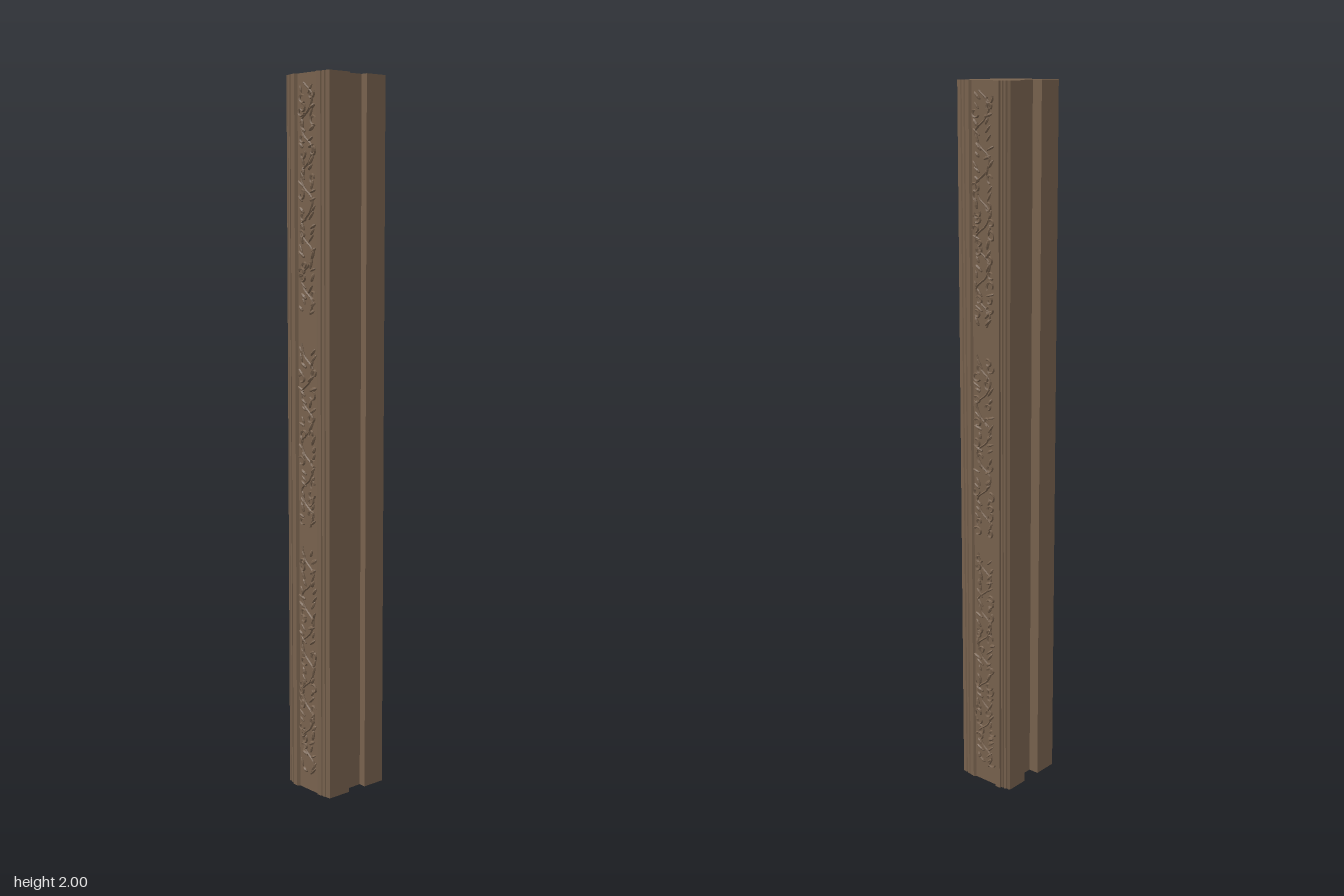
import * as THREE from 'three';
import { mergeGeometries } from 'three/addons/utils/BufferGeometryUtils.js';

const HEIGHT = 2;

// One carved face from left to right, as [x, distance from the post's middle]
const faceProfile = [
  [-0.09, 0.098], [-0.084, 0.101], [-0.08, 0.098], [-0.077, 0.102], [-0.071, 0.103],
  [-0.069, 0.099], [-0.066, 0.103], [-0.061, 0.103], [-0.06, 0.109], [-0.044, 0.109],
  [-0.038, 0.102], [0.038, 0.101], [0.044, 0.106], [0.058, 0.104], [0.06, 0.101],
  [0.064, 0.103], [0.071, 0.102], [0.073, 0.099], [0.077, 0.101], [0.089, 0.099],
];

function seeded(seed) {
  return () => {
    seed = (seed * 16807) % 2147483647;
    return seed / 2147483647;
  };
}

// Post with a moulded front and back and a slot down each side
function postGeometry() {
  const front = faceProfile.map(([x, z]) => [x, z]);
  const back = faceProfile.map(([x, z]) => [x, -z - 0.002]).reverse();
  const rightSlot = [[0.089, 0.027], [0.068, 0.027], [0.068, -0.033], [0.089, -0.033]];
  const leftSlot = [[-0.09, -0.033], [-0.06, -0.033], [-0.06, 0.027], [-0.09, 0.027]];
  const outline = [...front, ...rightSlot, ...back, ...leftSlot];
  const shape = new THREE.Shape(outline.map(([x, z]) => new THREE.Vector2(x, -z)));
  const geometry = new THREE.ExtrudeGeometry(shape, { depth: HEIGHT, bevelEnabled: false });
  return geometry.rotateX(-Math.PI / 2);
}

// Low carved leaf: a flattened faceted dome
function leaf(x, y, length, width, angle, rise) {
  return new THREE.SphereGeometry(1, 7, 5)
    .scale(width, length, rise)
    .rotateZ(angle)
    .translate(x, y, 0);
}

// Carved scroll: a partial ring, pressed flat
function scroll(x, y, radius, angle) {
  return new THREE.TorusGeometry(radius, 0.0032, 5, 12, 4.6)
    .scale(1, 1.25, 1.5)
    .rotateZ(angle)
    .translate(x, y, 0);
}

// Foliage in three panels, with plain gaps between them
function carvingGeometry(seed) {
  const random = seeded(seed);
  const parts = [];
  const panels = [[0.04, 0.72], [0.76, 1.29], [1.35, 1.985]];
  for (const [bottom, top] of panels) {
    const points = [];
    const count = Math.round((top - bottom) / 0.035);
    for (let i = 0; i <= count; i++) {
      const y = bottom + 0.01 + ((top - bottom - 0.02) * i) / count;
      const side = i % 4 < 2 ? 1 : -1;
      points.push(new THREE.Vector3(side * (i % 2 ? 0.024 : 0.012), y, 0));
    }
    const stem = new THREE.CatmullRomCurve3(points);
    parts.push(new THREE.TubeGeometry(stem, count * 5, 0.003, 5).scale(1, 1, 1.4));

    for (let y = bottom + 0.02; y < top - 0.02; y += 0.021) {
      for (const side of [-1, 1]) {
        const x = side * (0.013 + random() * 0.015);
        const level = y + (random() - 0.5) * 0.012;
        if (random() < 0.3) {
          parts.push(scroll(x, level, 0.007 + random() * 0.003, random() * 6.28));
        } else {
          const angle = side * (-0.2 - random() * 1.1);
          parts.push(leaf(x, level, 0.01 + random() * 0.007, 0.0035 + random() * 0.003,
            angle, 0.004 + random() * 0.003));
        }
      }
    }
  }
  return mergeGeometries(parts).translate(0, 0, 0.102);
}

export function createModel() {
  const model = new THREE.Group();
  model.name = 'carvedPost';
  const wood = new THREE.MeshStandardMaterial({ color: 0x78624e });
  wood.name = 'brown wood';
  wood.flatShading = true;

  const add = (name, geometry) => {
    const mesh = new THREE.Mesh(geometry, wood);
    mesh.name = name;
    model.add(mesh);
    return mesh;
  };

  add('post', postGeometry());
  add('frontCarving', carvingGeometry(17));
  const backCarving = add('backCarving', carvingGeometry(91));
  backCarving.rotation.y = Math.PI;
  backCarving.position.z = -0.002;

  return model;
}
